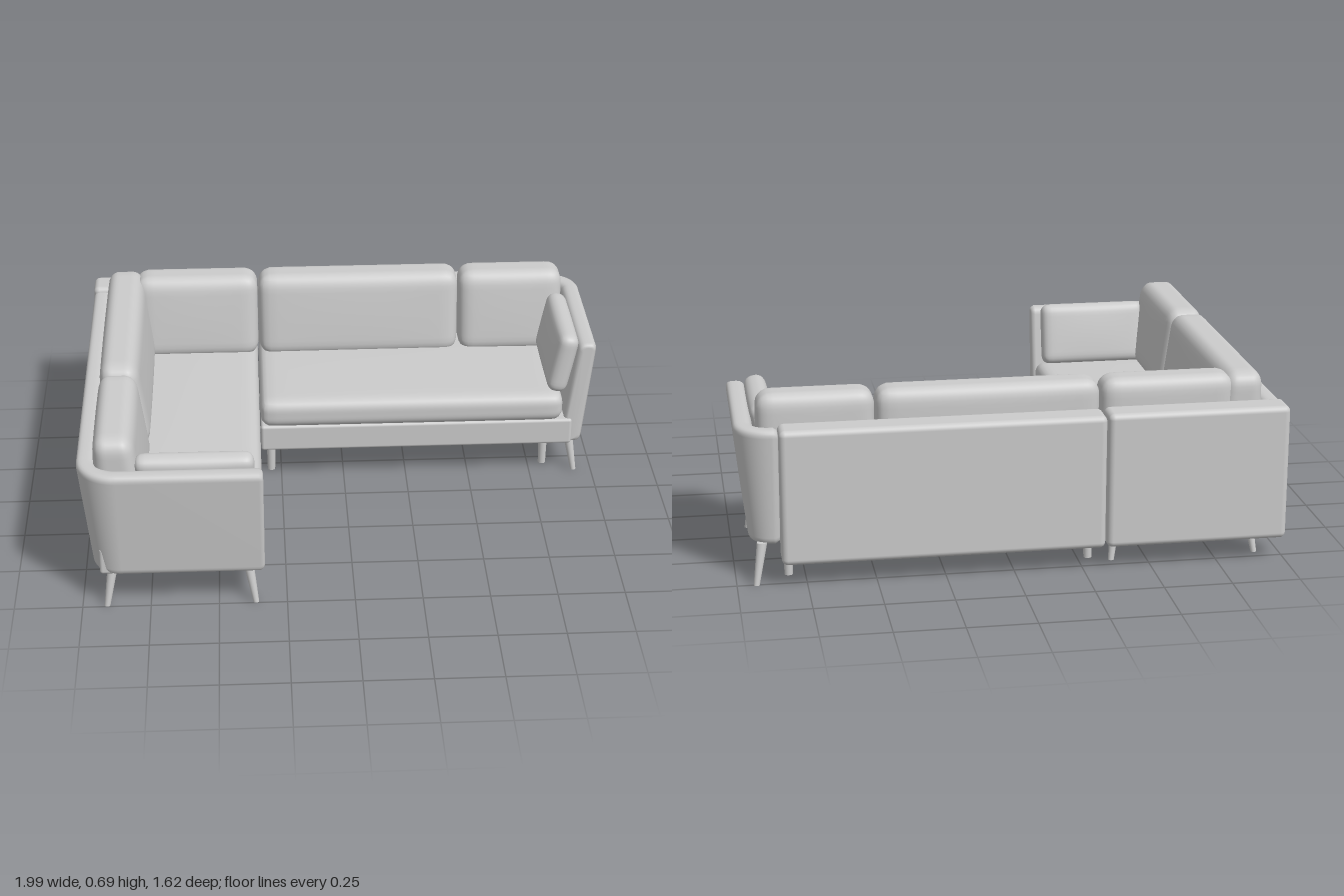
import * as THREE from 'three';
import { mergeVertices } from 'three/addons/utils/BufferGeometryUtils.js';
import { RoundedBoxGeometry } from 'three/addons/geometries/RoundedBoxGeometry.js';

const grey = new THREE.MeshStandardMaterial({ color: 0xcccccc });

function part(group, name, geometry) {
  const mesh = new THREE.Mesh(geometry, grey);
  mesh.name = name;
  group.add(mesh);
  return mesh;
}

// Rounded box given by its limits on each axis
function block(group, name, [x0, x1], [y0, y1], [z0, z1], r) {
  const mesh = part(group, name, new RoundedBoxGeometry(x1 - x0, y1 - y0, z1 - z0, 4, r));
  mesh.position.set((x0 + x1) / 2, (y0 + y1) / 2, (z0 + z1) / 2);
  return mesh;
}

// Soft cushion: rounded box, puffed along one axis, front thinning upwards by taper
function cushionGeometry(size, r, { axis = 'z', puff = 0, taper = 0 } = {}) {
  let g = new THREE.BoxGeometry(2, 2, 2, 20, 20, 20);
  g.deleteAttribute('uv');
  g.deleteAttribute('normal');
  g = mergeVertices(g);
  const pos = g.attributes.position;
  const half = new THREE.Vector3(...size).multiplyScalar(0.5);
  const inner = half.clone().subScalar(r);
  const p = new THREE.Vector3(), q = new THREE.Vector3();
  for (let i = 0; i < pos.count; i++) {
    p.fromBufferAttribute(pos, i);
    for (const k of ['x', 'y', 'z']) p[k] = Math.sin(p[k] * Math.PI / 2) * half[k];
    q.copy(p).clamp(inner.clone().negate(), inner);
    p.sub(q).setLength(r).add(q);
    let fall = 1;
    for (const k of ['x', 'y', 'z']) if (k !== axis) fall *= 1 - (p[k] / half[k]) ** 2;
    p[axis] *= 1 + puff * fall;
    p.z = -half.z + (p.z + half.z) * (1 - taper * (p.y / half.y + 1) / 2);
    pos.setXYZ(i, p.x, p.y, p.z);
  }
  g.computeVertexNormals();
  return g;
}

// Leaning upholstered panel's cross-section: [distance inward, height], rounded corners
function panelSection(inset) {
  const corners = [[0.047 + inset, 0.14 + inset], [inset, 0.58 - inset],
    [0.07 - inset, 0.58 - inset], [0.13 - inset, 0.14 + inset]].map(c => new THREE.Vector2(...c));
  const r = 0.028 - inset * 0.6;
  return corners.flatMap((c, i) => {
    const before = corners[(i + 3) % 4].clone().sub(c).setLength(r).add(c);
    const after = corners[(i + 1) % 4].clone().sub(c).setLength(r).add(c);
    return new THREE.QuadraticBezierCurve(before, c, after).getPoints(5);
  });
}

// Sweeps the panel along a straight run, a round corner and another straight run
function wrapPanel(cx, cz, radius, a0, startLength, endLength) {
  const rings = [];
  const addRing = (a, along, inset) => {
    const c = Math.cos(a), s = Math.sin(a);
    rings.push(panelSection(inset).map(v => [
      cx + c * (radius - v.x) - s * along, v.y, cz + s * (radius - v.x) + c * along]));
  };
  const ends = [[0, 0.016], [0.004, 0.007], [0.016, 0]];
  const a1 = a0 + Math.PI / 2;
  ends.forEach(([d, inset]) => addRing(a0, d - startLength, inset));
  for (let i = 0; i <= 14; i++) addRing(a0 + (a1 - a0) * i / 14, 0, 0);
  ends.reverse().forEach(([d, inset]) => addRing(a1, endLength - d, inset));

  const n = rings[0].length, last = rings.length - 1;
  const positions = rings.flat(2), index = [];
  for (let i = 0; i < last; i++) for (let j = 0; j < n; j++) {
    const k = (j + 1) % n;
    const a = i * n + j, b = a + n, d = i * n + k, c = d + n;
    index.push(a, d, c, a, c, b);
  }
  // Flat end caps
  for (let j = 1; j < n - 1; j++) {
    index.push(0, j + 1, j, last * n, last * n + j, last * n + j + 1);
  }
  const g = new THREE.BufferGeometry();
  g.setAttribute('position', new THREE.Float32BufferAttribute(positions, 3));
  g.setIndex(index);
  g.computeVertexNormals();
  return g;
}

// Tapered leg with its foot at x, z and its top shifted by dx, dz
function leg(group, name, x, z, dx, dz, height, rTop, rFoot) {
  const g = new THREE.CylinderGeometry(rTop, rFoot, height, 16);
  g.translate(0, height / 2, 0);
  g.applyMatrix4(new THREE.Matrix4().set(
    1, dx / height, 0, x, 0, 1, 0, 0, 0, dz / height, 1, z, 0, 0, 0, 1));
  part(group, name, g);
}

export function createModel() {
  const sofa = new THREE.Group();
  sofa.name = 'cornerSofa';

  // Bases and the frame beneath the main section
  block(sofa, 'chaiseBase', [-0.93, -0.335], [0.14, 0.25], [-0.7, 0.75], 0.012);
  block(sofa, 'mainBase', [-0.33, 0.91], [0.14, 0.25], [-0.7, -0.11], 0.012);
  block(sofa, 'underFrame', [-0.28, 0.83], [0.11, 0.15], [-0.65, -0.2], 0.005);

  // Back panels
  block(sofa, 'cornerBack', [-1, -0.333], [0.085, 0.59], [-0.81, -0.69], 0.022);
  block(sofa, 'mainBack', [-0.328, 0.84], [0.085, 0.585], [-0.81, -0.69], 0.022);

  // Wrap-around arms
  part(sofa, 'chaiseArm', wrapPanel(-0.85, 0.66, 0.15, Math.PI / 2, 0.52, 1.35));
  part(sofa, 'mainArm', wrapPanel(0.865, -0.65, 0.13, -Math.PI / 2, 0.025, 0.53));

  // Seat cushions
  const seats = [['chaiseSeat', [-0.84, -0.333], [-0.69, 0.695]], ['mainSeat', [-0.33, 0.87], [-0.69, -0.09]]];
  for (const [name, [x0, x1], [z0, z1]] of seats) {
    const g = cushionGeometry([x1 - x0, 0.12, z1 - z0], 0.045, { axis: 'y', puff: 0.08 });
    part(sofa, name, g).position.set((x0 + x1) / 2, 0.307, (z0 + z1) / 2);
  }

  // Back cushions: centre along the run, length, and whether they stand on the chaise side
  const backs = [[-0.575, 0.49, false], [0.08, 0.81, false], [0.7, 0.42, false],
    [-0.245, 0.89, true], [0.47, 0.54, true]];
  for (const [at, length, onSide] of backs) {
    const g = cushionGeometry([length, 0.34, 0.185], 0.055, { puff: 0.06, taper: 0.25 });
    const mesh = part(sofa, 'backCushion', g);
    if (onSide) {
      mesh.position.set(-0.84, 0.515, at);
      mesh.rotation.y = Math.PI / 2;
    } else mesh.position.set(at, 0.515, -0.605);
  }

  // Arm cushions leaning on the arms
  for (const [x, z, yaw] of [[-0.575, 0.675, 0], [0.867, -0.34, Math.PI / 2]]) {
    const g = cushionGeometry([0.43, 0.25, 0.08], 0.036, { puff: 0.15 });
    const mesh = part(sofa, 'armCushion', g);
    mesh.position.set(x, 0.482, z);
    mesh.rotation.set(0.2, yaw, 0, 'YXZ');
  }

  // Splayed outer legs
  const outer = [[-0.91, 0.74, 0.025, -0.03], [-0.365, 0.74, -0.025, -0.03],
    [-0.91, -0.7, 0.025, 0.025], [-0.37, -0.7, -0.02, 0.025], [-0.76, 0, 0, 0],
    [0.93, -0.15, -0.025, -0.025], [0.93, -0.75, -0.025, 0.03]];
  for (const [x, z, dx, dz] of outer) leg(sofa, 'leg', x, z, dx, dz, 0.15, 0.019, 0.011);

  // Straight legs under the frame
  for (const x of [-0.29, 0.81]) for (const z of [-0.21, -0.66]) {
    leg(sofa, 'frameLeg', x, z, 0, 0, 0.145, 0.018, 0.015);
  }
  return sofa;
}
